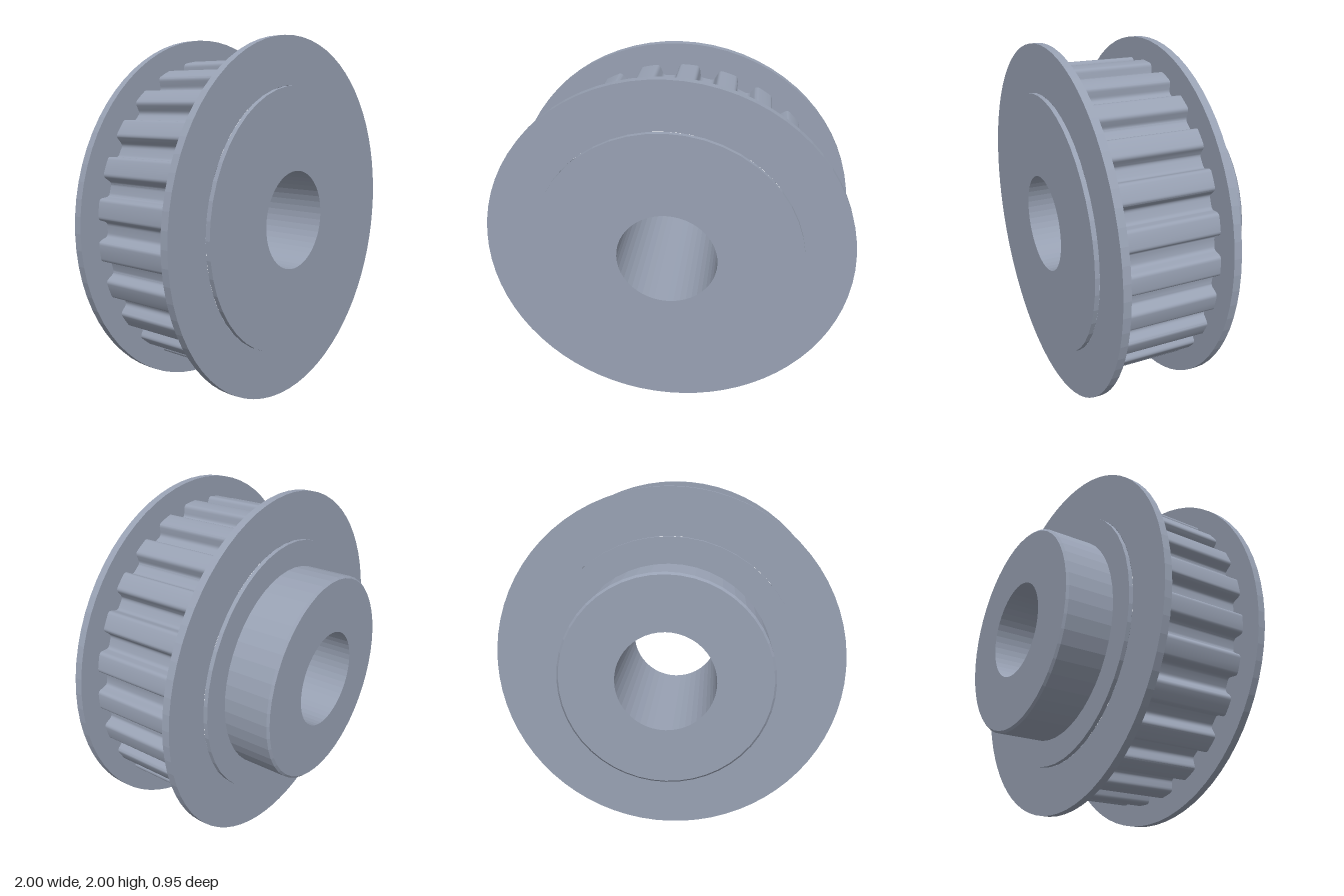
import * as THREE from 'three';
import { toCreasedNormals } from 'three/addons/utils/BufferGeometryUtils.js';

const steel = new THREE.MeshStandardMaterial({ color: 0x98a1b3 });
steel.name = 'blue grey steel';

const BORE = 0.275, HUB = 0.59, PLATE = 0.737, FLANGE = 1;
const TEETH = 25, TIP = 0.885, ROOT = 0.822;

// Surface of revolution about the z axis from [radius, z] points, facing outward
function turned(name, points, segments = 48) {
  const profile = points.map(([r, z]) => new THREE.Vector2(r, z));
  const geometry = new THREE.LatheGeometry(profile, segments).rotateX(Math.PI / 2).toNonIndexed();
  geometry.computeVertexNormals();
  const mesh = new THREE.Mesh(geometry, steel);
  mesh.name = name;
  return mesh;
}

// Toothed rim: trapezoid grooves with rounded corners, one tooth centred on +x
function toothedRim(zBack, zFront) {
  const shape = new THREE.Shape();
  const pitch = (Math.PI * 2) / TEETH;
  const tipHalf = 0.061, rootHalf = 0.0815; // half angles of a tooth at tip and root
  const at = (r, a) => [r * Math.cos(a), r * Math.sin(a)];
  for (let i = 0; i < TEETH; i++) {
    const c = i * pitch;
    const toRoot = [0.3, 0.7].map((t) => at(
      THREE.MathUtils.lerp(TIP, ROOT, t), c + THREE.MathUtils.lerp(tipHalf, rootHalf, t)));
    const toTip = [0.7, 0.3].map((t) => at(
      THREE.MathUtils.lerp(TIP, ROOT, t), c + pitch - THREE.MathUtils.lerp(tipHalf, rootHalf, t)));
    if (i === 0) shape.moveTo(...at(TIP, c - tipHalf + 0.02));
    shape.lineTo(...at(TIP, c));
    shape.lineTo(...at(TIP, c + tipHalf - 0.02));
    shape.quadraticCurveTo(...at(TIP, c + tipHalf), ...toRoot[0]);
    shape.lineTo(...toRoot[1]);
    shape.quadraticCurveTo(...at(ROOT, c + rootHalf), ...at(ROOT, c + rootHalf + 0.022));
    shape.lineTo(...at(ROOT, c + pitch - rootHalf - 0.022));
    shape.quadraticCurveTo(...at(ROOT, c + pitch - rootHalf), ...toTip[0]);
    shape.lineTo(...toTip[1]);
    shape.quadraticCurveTo(...at(TIP, c + pitch - tipHalf), ...at(TIP, c + pitch - tipHalf + 0.02));
  }
  shape.holes.push(new THREE.Path().absarc(0, 0, 0.76, 0, Math.PI * 2, true));
  const geometry = new THREE.ExtrudeGeometry(shape, {
    depth: zFront - zBack, bevelEnabled: false, curveSegments: 4,
  }).translate(0, 0, zBack);
  const mesh = new THREE.Mesh(toCreasedNormals(geometry, 0.5), steel);
  mesh.name = 'toothedRim';
  return mesh;
}

export function createModel() {
  const group = new THREE.Group();
  group.name = 'timingPulley';
  const end = 0.477, backPlate = -0.205;
  const front = [0.41, 0.452], back = [-0.182, -0.14];

  group.add(
    toothedRim(back[1], front[0]),
    // Guide flanges either side of the teeth
    turned('frontFlange', [[0.78, front[0]], [FLANGE, front[0]], [FLANGE, front[1]], [PLATE, front[1]]], 72),
    turned('backFlange', [[PLATE, back[0]], [FLANGE, back[0]], [FLANGE, back[1]], [0.78, back[1]]], 72),
    // Raised discs outside the flanges
    turned('frontDisc', [[PLATE, front[1]], [PLATE, end], [BORE, end]]),
    turned('backDisc', [[HUB, backPlate], [PLATE, backPlate], [PLATE, back[0]]]),
    // Hub with a small chamfer, and the through bore
    turned('hub', [[BORE, -end], [HUB - 0.012, -end], [HUB, -end + 0.012], [HUB, backPlate]]),
    turned('bore', [[BORE, end], [BORE, -end]]),
  );
  group.position.y = 1;
  const model = new THREE.Group();
  model.add(group);
  return model;
}
